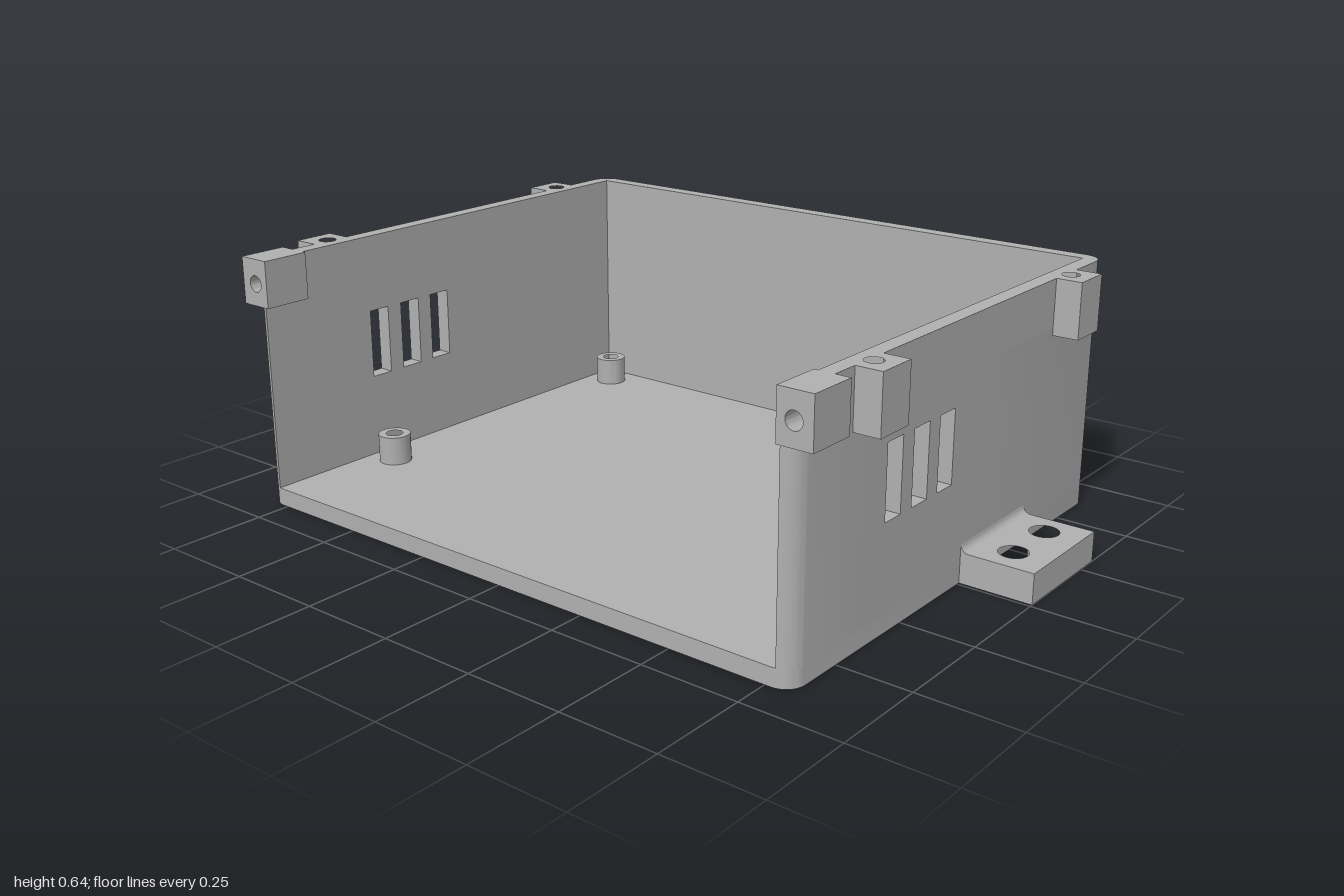
import * as THREE from 'three';
import { toCreasedNormals } from 'three/addons/utils/BufferGeometryUtils.js';

const W = 0.815, D = 0.66, H = 0.64;      // outer half width, half depth, height
const T = 0.04, FLOOR = 0.045, R = 0.05;  // wall, floor thickness, corner radius
const RIM = 0.52;                         // height where the rim with lugs begins
const IN = W - T;

// Points along an arc
function arc(cx, cy, r, a0, a1, n = 10) {
  return Array.from({ length: n + 1 }, (_, i) => {
    const a = a0 + (a1 - a0) * i / n;
    return [cx + r * Math.cos(a), cy + r * Math.sin(a)];
  });
}
const circle = (x, y, r) => arc(x, y, r, 0, Math.PI * 2, 32).slice(0, -1);
const rect = (x0, x1, y0, y1) => [[x0, y0], [x1, y0], [x1, y1], [x0, y1]];
const flip = (pts, s) => pts.map(([x, y]) => [x * s, y]);

function extrude(outline, holes, depth) {
  const v = pts => pts.map(([x, y]) => new THREE.Vector2(x, y));
  const shape = new THREE.Shape(v(outline));
  for (const h of holes) shape.holes.push(new THREE.Path(v(h)));
  return new THREE.ExtrudeGeometry(shape, { depth, bevelEnabled: false });
}

// Plan outline given as (x, z), raised from y0 to y1
function plan(outline, holes, y0, y1) {
  const neg = pts => pts.map(([x, z]) => [x, -z]);
  return extrude(neg(outline), holes.map(neg), y1 - y0).rotateX(-Math.PI / 2).translate(0, y0, 0);
}

export function createModel() {
  const model = new THREE.Group();
  model.name = 'enclosureBase';
  const grey = new THREE.MeshStandardMaterial({ color: 0xb0b0b0 });
  grey.name = 'grey plastic';
  const add = (name, geometry) => {
    const mesh = new THREE.Mesh(toCreasedNormals(geometry, 0.5), grey);
    mesh.name = name;
    model.add(mesh);
  };

  const backCorners = [
    ...arc(-W + R, -D + R, R, Math.PI, Math.PI * 1.5),
    ...arc(W - R, -D + R, R, Math.PI * 1.5, Math.PI * 2),
  ];

  // Floor with four rounded corners
  add('floor', plan([
    ...backCorners,
    ...arc(W - R, D - R, R, 0, Math.PI / 2),
    ...arc(-W + R, D - R, R, Math.PI / 2, Math.PI),
  ], [], 0, FLOOR));

  // Back wall and rear halves of the side walls
  add('backWall', plan([
    ...backCorners, [W, 0], [IN, 0], [IN, -D + T], [-IN, -D + T], [-IN, 0], [-W, 0],
  ], [], FLOOR, RIM));

  // Rim around the top, with screw lugs standing out of the side walls
  const lugs = [[-0.505, -0.4], [0.36, 0.465]];
  const zLug = 0.535;
  const lugX = 0.88, screwX = 0.826;
  const sideEdge = lugs.flatMap(([a, b]) => [[W, a], [lugX, a], [lugX, b], [W, b]]);
  const screws = [1, -1].flatMap(s => lugs.map(([a, b]) => circle(s * screwX, (a + b) / 2, 0.022)));
  add('rim', plan([
    ...backCorners, ...sideEdge, [W, zLug], [IN, zLug], [IN, -D + T],
    [-IN, -D + T], [-IN, zLug], [-W, zLug], ...flip(sideEdge, -1).reverse(),
  ], screws, RIM, H));

  for (const s of [1, -1]) {
    const side = s > 0 ? 'left' : 'right';

    // Vented middle of the side wall
    const vents = [[0.052, 0.115], [0.159, 0.222], [0.267, 0.328]]
      .map(([a, b]) => rect(a, b, 0.26, 0.44));
    add(side + 'VentPanel', extrude(rect(0, 0.4, FLOOR, RIM), vents, T)
      .rotateY(-Math.PI / 2).translate(s > 0 ? W : -IN, 0, 0));

    // Front end of the side wall, rounded outside
    add(side + 'WallEnd', plan(flip([
      [IN, 0.4], [W, 0.4], ...arc(W - R, D - R, R, 0, Math.acos((R - T) / R)),
    ], s), [], FLOOR, RIM));

    // Closed bottoms of the side lugs
    for (const [a, b] of lugs)
      add(side + 'LugBottom', plan(flip(rect(W, lugX, a, b), s), [], 0.5, RIM));

    // Front lug with a blind screw hole
    const block = flip(rect(0.765, 0.853, RIM, H), s);
    add(side + 'FrontLug', extrude(block, [circle(s * 0.807, 0.577, 0.021)], 0.1)
      .translate(0, 0, D - 0.1));
    add(side + 'FrontLugBack', extrude(block, [], D - 0.1 - zLug).translate(0, 0, zLug));

    // Mounting foot with two through holes and a fillet against the wall
    add(side + 'Foot', plan(flip(rect(W, 1, -0.31, -0.008), s),
      [circle(s * 0.908, -0.237, 0.036), circle(s * 0.908, -0.086, 0.036)], 0, 0.076));
    add(side + 'FootFillet', extrude(flip([
      [W, 0.076], ...arc(W + 0.02, 0.096, 0.02, Math.PI * 1.5, Math.PI, 6),
    ], s), [], 0.302).translate(0, 0, -0.31));
  }

  // Hollow board standoffs
  for (const x of [-0.698, 0.603])
    for (const z of [-0.54, 0.336])
      add('standoff', plan(circle(x, z, 0.042), [circle(x, z, 0.022)], FLOOR, 0.12));

  return model;
}
